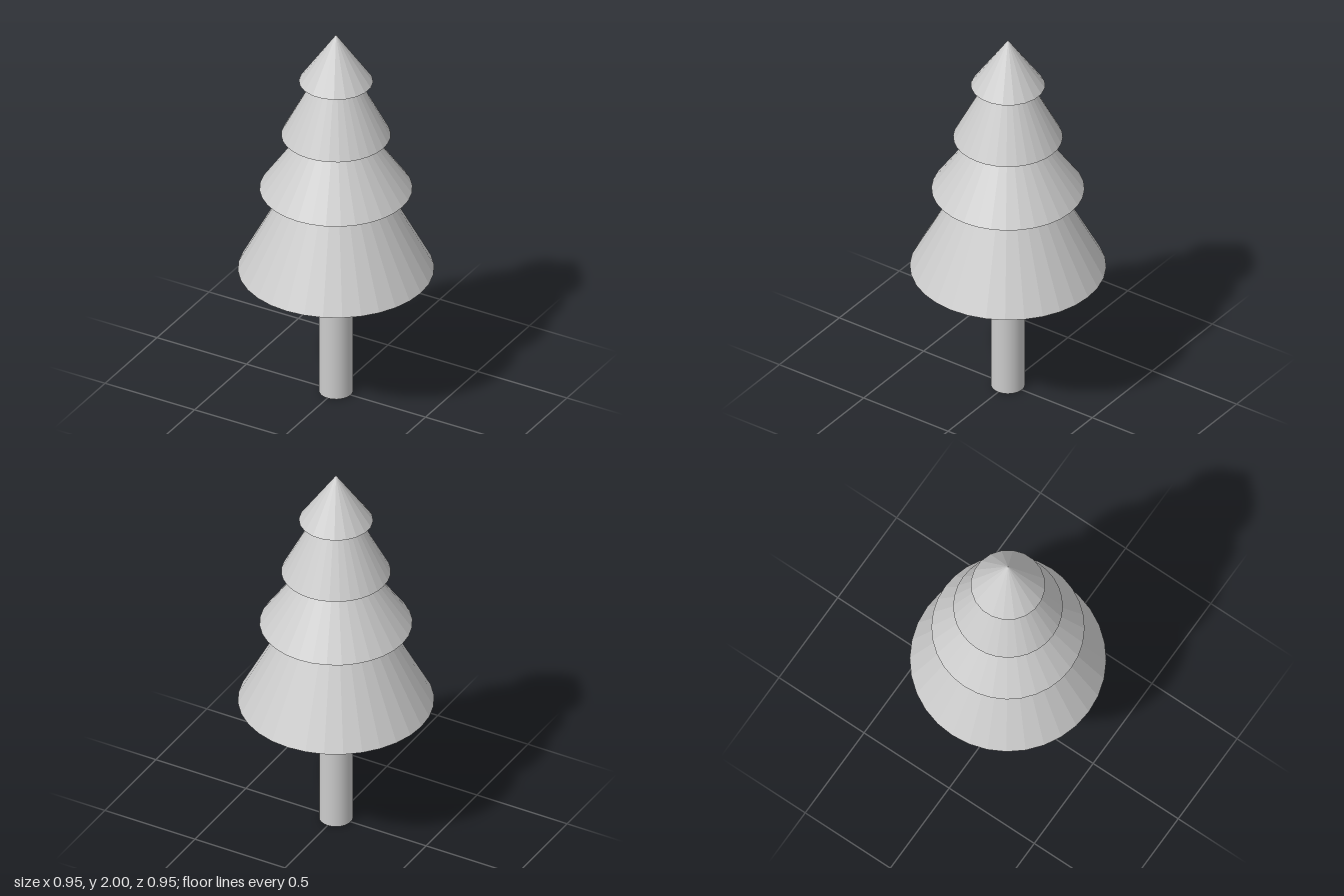
import * as THREE from 'three';

const flat = new THREE.MeshStandardMaterial({ color: 0xcccccc, flatShading: true, side: THREE.DoubleSide });
const smooth = new THREE.MeshStandardMaterial({ color: 0xcccccc, side: THREE.DoubleSide });

// Each tier: recessed underside (inner), lower rim, and top of the sloped skirt, as [radius, height]
const TIERS = [
  { name: 'bottomTier', inner: [0.223, 0.82], rim: [0.475, 0.69], top: [0.205, 1.2], sides: 32 },
  { name: 'lowerMiddleTier', inner: [0.205, 1.2], rim: [0.37, 1.14], top: [0.125, 1.49], sides: 32 },
  { name: 'upperMiddleTier', inner: [0.125, 1.49], rim: [0.265, 1.44], top: [0.095, 1.77], sides: 32 },
  { name: 'topTier', inner: [0.095, 1.77], rim: [0.18, 1.74], top: [0, 2], sides: 20, turn: Math.PI / 20 },
];

function makeTier({ name, inner, rim, top, sides, turn = 0 }) {
  // From the middle of the hollow out to the rim, then up the skirt
  const profile = [[0, inner[1]], inner, rim, top].map(([r, y]) => new THREE.Vector2(r, y));
  const tier = new THREE.Mesh(new THREE.LatheGeometry(profile, sides, turn), flat);
  tier.name = name;
  return tier;
}

export function createModel() {
  const tree = new THREE.Group();
  tree.name = 'tree';

  // Trunk: tube open at the foot, ending in the lowest tier's hollow
  const height = 0.82;
  const trunk = new THREE.Mesh(new THREE.CylinderGeometry(0.082, 0.082, height, 32, 1, true), smooth);
  trunk.position.y = height / 2;
  trunk.name = 'trunk';
  tree.add(trunk);

  // Foliage
  for (const spec of TIERS) tree.add(makeTier(spec));
  return tree;
}
